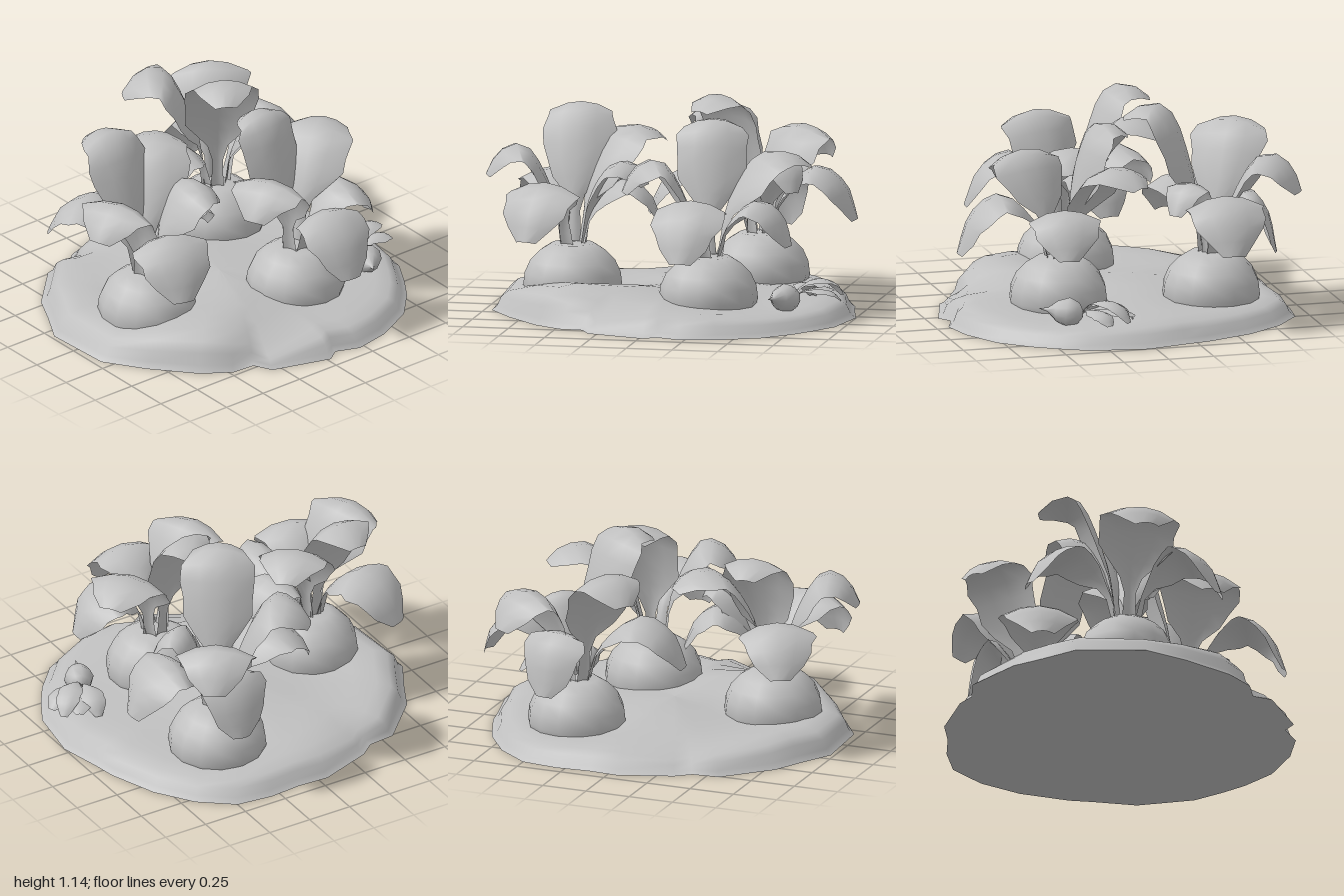
import * as THREE from 'three';

const clay = new THREE.MeshStandardMaterial({ color: 0xc0c0c0, side: THREE.DoubleSide });
clay.name = 'plain grey';

function geometryFrom(positions, index) {
  const g = new THREE.BufferGeometry();
  g.setAttribute('position', new THREE.Float32BufferAttribute(positions, 3));
  g.setIndex(index);
  g.computeVertexNormals();
  return g;
}

function addMesh(parent, geometry, name) {
  const mesh = new THREE.Mesh(geometry, clay);
  mesh.name = name;
  parent.add(mesh);
  return mesh;
}

// Ragged soil outline as x, z pairs, clockwise from above
const OUTLINE = [
  [-0.05, -0.94], [0.12, -0.93], [0.3, -0.945], [0.5, -0.92], [0.68, -0.78], [0.82, -0.58], [0.92, -0.32],
  [0.945, -0.19], [1, 0.04], [0.95, 0.35], [0.86, 0.51], [0.78, 0.63], [0.64, 0.78],
  [0.42, 0.89], [0.22, 0.93], [0.09, 0.88], [0.02, 0.93], [-0.3, 0.83], [-0.35, 0.73],
  [-0.48, 0.72], [-0.63, 0.62], [-0.82, 0.4], [-0.96, 0.19], [-0.98, -0.19], [-0.88, -0.37],
  [-0.8, -0.53], [-0.57, -0.76], [-0.42, -0.775], [-0.34, -0.84],
];

// Rolling height of the soil surface: humps, and hollows by the bulbs and rim
function soilHeight(x, z) {
  const bump = (cx, cz, r) => Math.exp(-((x - cx) ** 2 + (z - cz) ** 2) / (r * r));
  return 0.125 + 0.08 * bump(-0.52, 0.44, 0.28) + 0.05 * bump(-0.12, 0.35, 0.22) + 0.04 * bump(0.05, -0.2, 0.3)
    + 0.03 * bump(-0.8, -0.3, 0.25) - 0.03 * bump(0.6, 0.45, 0.35) - 0.03 * bump(0.37, -0.5, 0.3)
    - 0.02 * bump(-0.5, -0.1, 0.25) - 0.08 * bump(-0.25, 0.76, 0.13) - 0.05 * bump(-0.36, -0.76, 0.12);
}

function soil(parent) {
  const rings = [[1, 0], [0.97, 0.2], [0.95, 0.56], [0.91, 0.8], [0.83, 0.96], [0.7, 1], [0.55, 1], [0.38, 1], [0.2, 1], [0, 1]];
  const n = OUTLINE.length, pos = [], idx = [];
  rings.forEach(([s, f]) => OUTLINE.forEach(([x, z]) => pos.push(x * s, f * soilHeight(x * s, z * s), z * s)));
  for (let r = 0; r < rings.length - 1; r++) {
    for (let i = 0; i < n; i++) {
      const a = r * n + i, b = r * n + (i + 1) % n;
      idx.push(a, a + n, b);
      if (r < rings.length - 2) idx.push(b, a + n, b + n);
    }
  }
  addMesh(parent, geometryFrom(pos, idx), 'soilMound');

  const base = [0, 0, 0], fan = [];
  OUTLINE.forEach(([x, z], i) => {
    base.push(x, 0, z);
    fan.push(0, i + 1, (i + 1) % n + 1);
  });
  addMesh(parent, geometryFrom(base, fan), 'soilUnderside');
}

// A leaf sheet: channelled stalk opening into a broad drooping blade
const HALF_WIDTHS = [0.04, 0.034, 0.03, 0.06, 0.135, 0.185, 0.205, 0.21, 0.2, 0.178, 0.135, 0.06];

function leaf(parent, root, tip, peak, size, name) {
  const dir = new THREE.Vector3(tip.x - root.x, 0, tip.z - root.z);
  const side = new THREE.Vector3(dir.z, 0, -dir.x).normalize();
  const at = (k, y) => new THREE.Vector3(root.x + dir.x * k, y, root.z + dir.z * k);
  const rise = peak - root.y;
  const curve = new THREE.CatmullRomCurve3([
    at(0.02, root.y), at(0.15, root.y + rise * 0.5), at(0.52, peak - 0.03 * size),
    at(0.84, tip.y + 0.62 * (peak - tip.y)), at(1, tip.y),
  ]);
  const rows = HALF_WIDTHS.length, cols = 5, pos = [], idx = [];
  for (let r = 0; r < rows; r++) {
    const u = r / (rows - 1), p = curve.getPointAt(u);
    const normal = new THREE.Vector3().crossVectors(curve.getTangentAt(u), side).normalize();
    for (let c = 0; c < cols; c++) {
      const v = c / (cols - 1) * 2 - 1;
      // uneven rim and downward cupping
      const ragged = 1 + 0.06 * Math.sin(r * 2.3 + c * 1.7 + root.x * 9 + tip.z * 7);
      const w = HALF_WIDTHS[r] * size * ragged;
      const q = p.clone().addScaledVector(side, v * w).addScaledVector(normal, -0.3 * w * v * v);
      pos.push(q.x, q.y, q.z);
      if (r && c) {
        const d = r * cols + c;
        idx.push(d - cols - 1, d - cols, d - 1, d - 1, d - cols, d);
      }
    }
  }
  addMesh(parent, geometryFrom(pos, idx), name);
}

// A large root: round bulb and a crown of leaves given as [tipX, tipY, tipZ, peak, size]
function plant(parent, name, x, z, leaves) {
  const group = new THREE.Group();
  group.name = name;
  parent.add(group);
  const profile = [[0.18, 0], [0.245, 0.06], [0.265, 0.13], [0.257, 0.2], [0.228, 0.265], [0.175, 0.32], [0.115, 0.358], [0, 0.362]];
  const bulb = new THREE.LatheGeometry(profile.map(([r, y]) => new THREE.Vector2(r, y)), 14);
  addMesh(group, bulb, 'bulb').position.set(x, 0, z);
  leaves.forEach(([tx, ty, tz, peak, size = 1], i) => {
    const d = Math.hypot(tx - x, tz - z);
    const root = new THREE.Vector3(x + 0.04 * (tx - x) / d, 0.34, z + 0.04 * (tz - z) / d);
    leaf(group, root, new THREE.Vector3(tx, ty, tz), peak, size, 'leaf' + (i + 1));
  });
}

// The little root lying on its side by the rim
function seedling(parent) {
  const group = new THREE.Group();
  group.name = 'smallRoot';
  parent.add(group);
  const profile = [[0, -0.16], [0.012, -0.11], [0.055, -0.06], [0.08, 0], [0.06, 0.055], [0.02, 0.08], [0, 0.082]];
  const body = addMesh(group, new THREE.LatheGeometry(profile.map(([r, y]) => new THREE.Vector2(r, y)), 10), 'smallBulb');
  body.position.set(0.69, 0.155, 0.4);
  body.quaternion.setFromUnitVectors(new THREE.Vector3(0, 1, 0), new THREE.Vector3(0.42, -0.1, -0.9).normalize());
  const crown = new THREE.Vector3(0.715, 0.15, 0.34);
  [[0.95, 0.14, 0.13, 0.25], [0.96, 0.13, 0.24, 0.2], [0.77, 0.12, 0.06, 0.22], [0.88, 0.16, 0.08, 0.19]]
    .forEach(([x, y, z, peak], i) => leaf(group, crown, new THREE.Vector3(x, y, z), peak, 0.31, 'smallLeaf' + (i + 1)));
}

export function createModel() {
  const model = new THREE.Group();
  model.name = 'rootVegetablePatch';
  soil(model);
  plant(model, 'rightPlant', -0.545, 0.06, [
    [-0.57, 1.0, -0.41, 1.09, 0.92],
    [-0.14, 0.88, -0.36, 0.98, 0.95],
    [-0.08, 0.47, -0.06, 0.73, 0.9],
    [-0.12, 0.7, 0.13, 0.84, 0.95],
    [-0.7, 0.44, 0.58, 0.76],
    [-0.99, 0.74, 0.2, 0.93, 1.05],
    [-0.8, 0.48, -0.46, 0.75, 0.95],
  ]);
  plant(model, 'frontPlant', 0.255, 0.33, [
    [0.21, 1.0, -0.06, 1.08, 0.92],
    [0.74, 0.82, 0, 0.92],
    [0.72, 0.44, 0.4, 0.7, 0.9],
    [0.21, 0.4, 0.88, 0.74, 0.95],
    [-0.18, 0.72, 0.51, 0.92, 1.05],
  ]);
  plant(model, 'backPlant', 0.365, -0.49, [
    [0.11, 1.07, -0.08, 1.16, 0.95],
    [-0.04, 0.9, -0.79, 1.05],
    [0.64, 0.72, -0.91, 0.94],
    [0.9, 0.45, -0.47, 0.76],
    [-0.23, 0.47, -0.4, 0.75],
    [0.6, 0.62, -0.22, 0.8, 0.6],
    [0.42, 0.35, -0.84, 0.72, 0.85],
  ]);
  seedling(model);
  return model;
}
